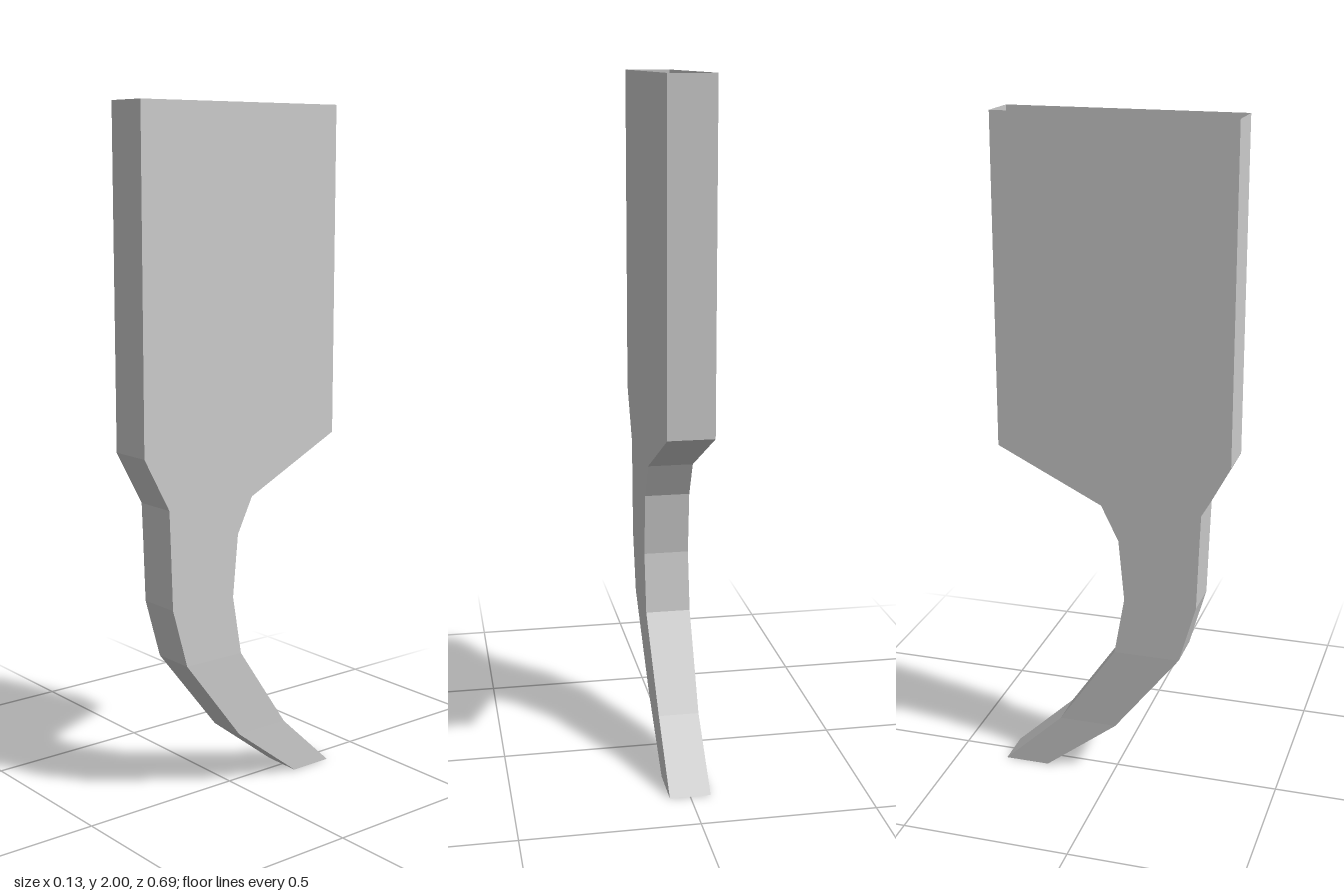
import * as THREE from 'three';

// Cross-sections from the open top to the tip: [y, front z, back z, half width]
const SECTIONS = [
  [2.0, 0.35, -0.342, 0.066],
  [1.045, 0.35, -0.342, 0.066],
  [0.89, 0.267, -0.03, 0.066],
  [0.785, 0.263, 0.022, 0.066],
  [0.6, 0.257, 0.04, 0.066],
  [0.425, 0.208, 0.01, 0.066],
  [0.17, 0.01, -0.165, 0.059],
  [0.0, -0.21, -0.345, 0.059],
];

// Joins rectangular sections into a flat-faced shell
function loftShell(sections, closeEnd) {
  const positions = [];
  const rings = sections.map(([y, front, back, w]) => [
    [-w, y, front], [w, y, front], [w, y, back], [-w, y, back],
  ]);
  const quad = (a, b, c, d) => positions.push(...a, ...b, ...c, ...a, ...c, ...d);
  for (let i = 0; i < rings.length - 1; i++) {
    const upper = rings[i], lower = rings[i + 1];
    for (let j = 0; j < 4; j++) {
      const k = (j + 1) % 4;
      quad(lower[j], lower[k], upper[k], upper[j]);
    }
  }
  if (closeEnd) {
    const [a, b, c, d] = rings[rings.length - 1];
    quad(d, c, b, a);
  }
  const geometry = new THREE.BufferGeometry();
  geometry.setAttribute('position', new THREE.Float32BufferAttribute(positions, 3));
  geometry.computeVertexNormals();
  return geometry;
}

export function createModel() {
  const group = new THREE.Group();
  group.name = 'hollowClaw';
  const material = new THREE.MeshStandardMaterial({
    color: 0xcccccc, flatShading: true, side: THREE.DoubleSide,
  });

  // Wide sleeve, open at the top, running down to the neck
  const sleeve = new THREE.Mesh(loftShell(SECTIONS.slice(0, 3), false), material);
  sleeve.name = 'sleeve';

  // Curved hollow hook with a closed flat tip
  const hook = new THREE.Mesh(loftShell(SECTIONS.slice(2), true), material);
  hook.name = 'curvedHook';

  group.add(sleeve, hook);
  return group;
}
